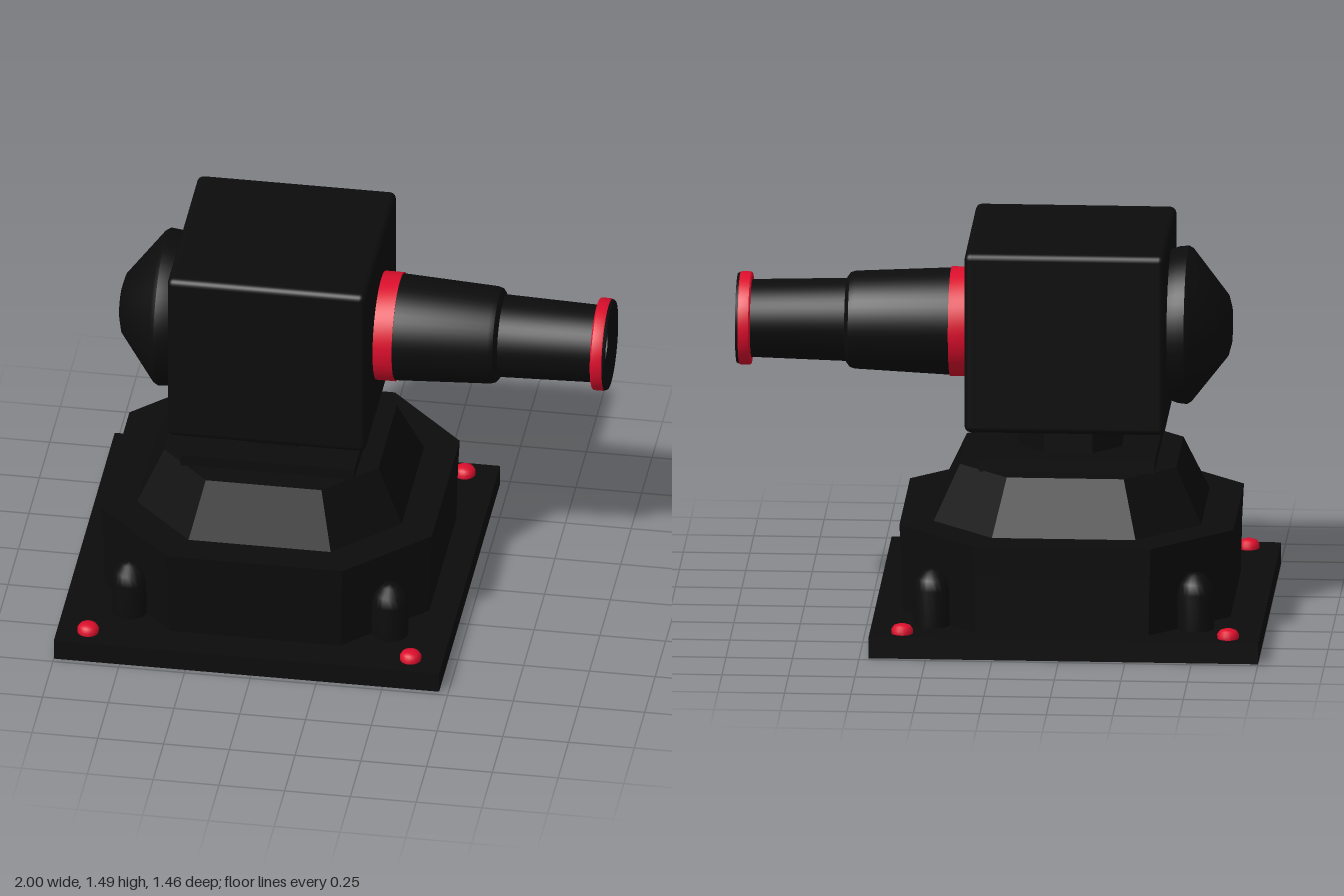
import * as THREE from 'three';
import { toCreasedNormals } from 'three/addons/utils/BufferGeometryUtils.js';
import { RoundedBoxGeometry } from 'three/addons/geometries/RoundedBoxGeometry.js';

const CX = -0.257, CZ = -0.022, AXIS_Y = 1.125;
const black = new THREE.MeshStandardMaterial({ color: 0x0c0c0c });
const red = new THREE.MeshStandardMaterial({ color: 0xdc0e2c });

function mesh(name, geometry, material, x = 0, y = 0, z = 0) {
  const m = new THREE.Mesh(geometry, material);
  m.name = name;
  m.position.set(x, y, z);
  return m;
}

// Eight-sided loft; each ring is [y, half width, half length of the straight side]
function octagonLoft(rings) {
  const corners = ([y, h, f]) => [[h, f], [f, h], [-f, h], [-h, f], [-h, -f], [-f, -h], [f, -h], [h, -f]]
    .map(([x, z]) => [x, y, z]);
  const pos = [];
  for (let r = 0; r < rings.length - 1; r++) {
    const lo = corners(rings[r]), hi = corners(rings[r + 1]);
    for (let i = 0; i < 8; i++) {
      const j = (i + 1) % 8;
      pos.push(...lo[i], ...hi[i], ...hi[j], ...lo[i], ...hi[j], ...lo[j]);
    }
  }
  const g = new THREE.BufferGeometry();
  g.setAttribute('position', new THREE.Float32BufferAttribute(pos, 3));
  g.computeVertexNormals();
  return g;
}

// Turned part along the x axis; profile is [x, radius] with creased edges
function turned(profile) {
  const g = new THREE.LatheGeometry(profile.map(([x, r]) => new THREE.Vector2(r, x)), 48);
  g.rotateZ(-Math.PI / 2);
  return toCreasedNormals(g, 0.5);
}

export function createModel() {
  const model = new THREE.Group();
  model.name = 'mountedCamera';

  // Base plate and its four bolts
  model.add(mesh('basePlate', new THREE.BoxGeometry(1.465, 0.08, 1.46), black, -0.2675, 0.04, 0));
  const boltProfile = [[0.04, 0], [0.041, 0.015], [0.032, 0.029], [0.016, 0.035], [0, 0.036]];
  const boltGeo = new THREE.LatheGeometry(boltProfile.map(([r, y]) => new THREE.Vector2(r, y)), 20);
  for (const x of [-0.883, 0.343])
    for (const z of [-0.655, 0.645]) model.add(mesh('bolt', boltGeo, red, x, 0.08, z));

  // Octagonal housing: wall, ledge, sloped shoulder, top
  model.add(mesh('housing', octagonLoft([
    [0.08, 0.617, 0.325], [0.3, 0.622, 0.33], [0.42, 0.628, 0.335], [0.42, 0.503, 0.27],
    [0.63, 0.407, 0.22], [0.63, 0, 0],
  ]), black, CX, 0, CZ));

  // Rounded feet on the diagonal faces
  const footProfile = [[0.07, 0.08], [0.07, 0.22], [0.058, 0.26], [0.03, 0.29], [0, 0.295]];
  const footGeo = new THREE.LatheGeometry(footProfile.map(([r, y]) => new THREE.Vector2(r, y)), 20);
  for (const sx of [-1, 1])
    for (const sz of [-1, 1]) model.add(mesh('foot', footGeo, black, CX + sx * 0.495, 0, CZ + sz * 0.495));

  // Collar and neck carrying the head
  model.add(mesh('collar', new THREE.BoxGeometry(0.66, 0.045, 0.63), black, CX, 0.65, CZ));
  model.add(mesh('neck', octagonLoft([
    [0.67, 0.193, 0.09], [0.76, 0.193, 0.09], [0.8, 0.215, 0.1],
  ]), black, CX, 0, CZ));

  // Head block
  model.add(mesh('head', new RoundedBoxGeometry(0.755, 0.697, 0.755, 3, 0.025), black, -0.2525, 1.1385, CZ));

  // Domed rear cap
  model.add(mesh('rearCap', turned([
    [-0.862, 0], [-0.86, 0.07], [-0.848, 0.115], [-0.712, 0.288], [-0.695, 0.298], [-0.66, 0.294], [-0.62, 0.28],
  ]), black, 0, AXIS_Y, CZ));

  // Lens barrel with stepped body, rings and hollow end
  model.add(mesh('rearRing', turned([[0.115, 0.206], [0.197, 0.206], [0.197, 0.19]]), red, 0, AXIS_Y, CZ));
  model.add(mesh('lensBarrel', turned([
    [0.19, 0.202], [0.555, 0.184], [0.575, 0.178], [0.585, 0.165], [0.59, 0.156], [0.95, 0.146],
  ]), black, 0, AXIS_Y, CZ));
  model.add(mesh('frontRing', turned([
    [0.945, 0.14], [0.945, 0.17], [0.95, 0.175], [0.985, 0.175], [0.992, 0.172],
  ]), red, 0, AXIS_Y, CZ));
  model.add(mesh('lensMouth', turned([
    [0.99, 0.173], [1.0, 0.168], [1.0, 0.15], [0.975, 0.084], [0.88, 0.08], [0.88, 0],
  ]), black, 0, AXIS_Y, CZ));

  return model;
}
